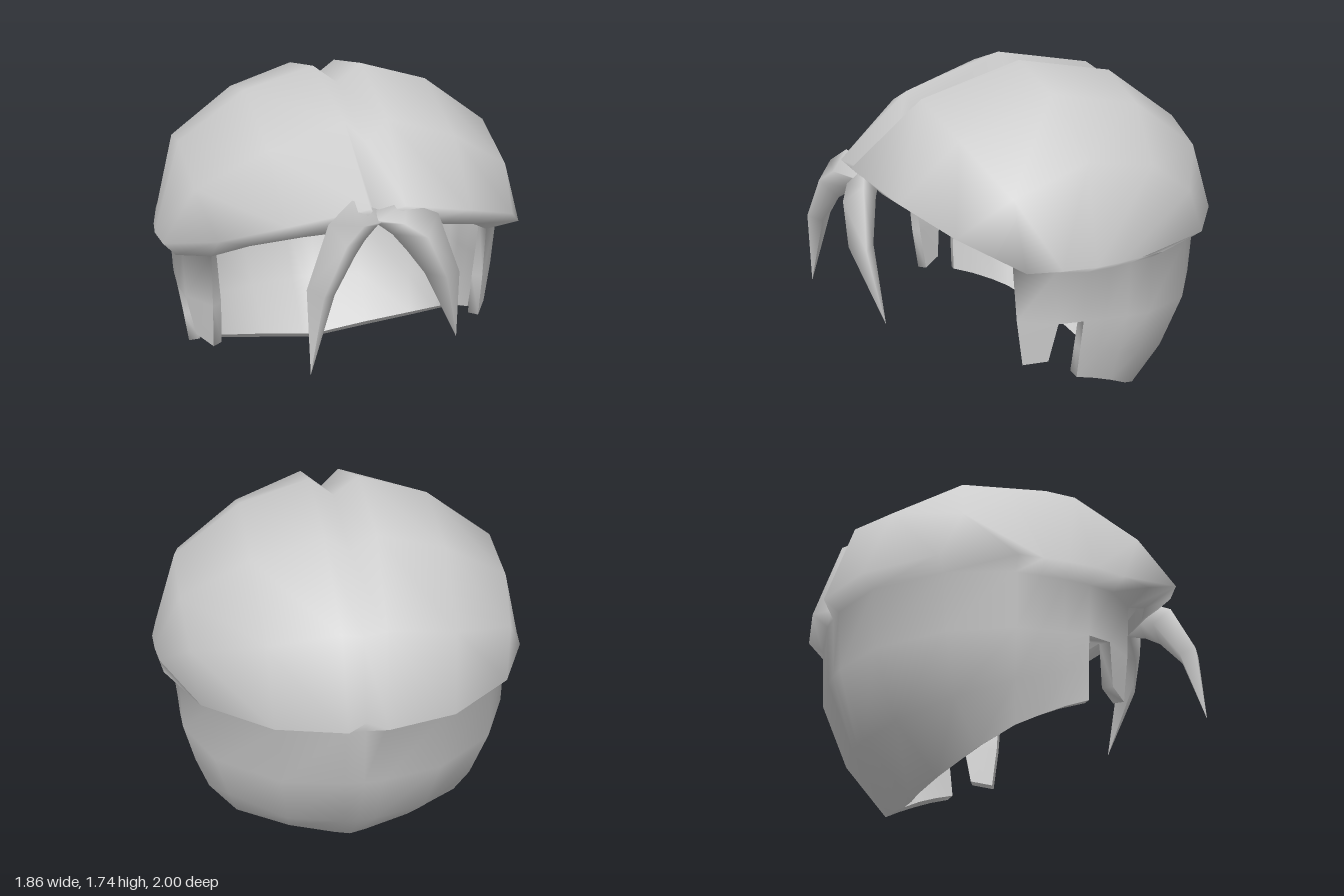
import * as THREE from 'three';
import { mergeGeometries, mergeVertices } from 'three/addons/utils/BufferGeometryUtils.js';

const hairMaterial = new THREE.MeshStandardMaterial({ color: 0xcccccc, side: THREE.DoubleSide });
hairMaterial.name = 'light grey hair';
const THICKNESS = 0.055;

function build(positions, index) {
  const g = new THREE.BufferGeometry();
  g.setAttribute('position', new THREE.Float32BufferAttribute(positions, 3));
  g.setIndex(index);
  return g;
}

// Surface through rows of [x, y, z] points
function grid(rows, flip = false) {
  const n = rows[0].length, index = [];
  for (let i = 0; i < rows.length - 1; i++) {
    for (let j = 0; j < n - 1; j++) {
      const a = i * n + j, b = a + n;
      if (flip) index.push(a, a + 1, b, b, a + 1, b + 1);
      else index.push(a, b, a + 1, b, b + 1, a + 1);
    }
  }
  return build(rows.flat(2), index);
}

// Joins two edge loops with a strip
const strip = (outer, inner) => grid(outer.map((p, i) => [p, inner[i]]), true);

// Welds pieces into one smoothly shaded surface
function smooth(...pieces) {
  const g = mergeVertices(mergeGeometries(pieces), 0.0005);
  g.computeVertexNormals();
  return g;
}

// Gives an open surface an inner wall and closes its free edges
function thicken(outer) {
  const p = outer.attributes.position, nrm = outer.attributes.normal;
  const n = p.count, index = [...outer.index.array];
  const innerPoints = [...p.array].map((v, i) => v - nrm.array[i] * THICKNESS);
  const edges = new Map();
  for (let i = 0; i < index.length; i += 3) {
    for (let k = 0; k < 3; k++) {
      const a = index[i + k], b = index[i + (k + 1) % 3];
      edges.set(a + '_' + b, [a, b]);
    }
  }
  const rim = [...edges.values()].filter(([a, b]) => !edges.has(b + '_' + a))
    .flatMap(([a, b]) => [b, a, a + n, b, a + n, b + n]);
  const inner = build(innerPoints, index.slice().reverse());
  const edge = build([...p.array, ...innerPoints], rim);
  inner.computeVertexNormals();
  edge.computeVertexNormals();
  return mergeGeometries([outer, inner, edge]);
}

const flipX = ([x, y, z]) => [-x, y, z];
const mirrorRows = (half) => [...half.slice(1).reverse().map((r) => r.map(flipX)), ...half];
const bothSides = (cols) => [cols, cols.slice().reverse().map((c) => c.map(flipX))].map((c) => grid(c, true));

// Cap slices from the middle parting to the side, each running front to back
const capHalf = [
  [[0, 1.19, 0.68], [0, 1.49, 0.53], [0, 1.65, 0.03], [0, 1.57, -0.45], [0, 1.32, -0.81], [0, 0.95, -0.93]],
  [[0.08, 1.29, 0.88], [0.10, 1.59, 0.53], [0.12, 1.74, 0.03], [0.12, 1.65, -0.47], [0.10, 1.37, -0.87], [0.09, 0.95, -1.0]],
  [[0.43, 1.20, 0.77], [0.45, 1.47, 0.48], [0.46, 1.64, 0.02], [0.45, 1.55, -0.44], [0.43, 1.30, -0.79], [0.41, 0.95, -0.92]],
  [[0.71, 1.10, 0.61], [0.77, 1.27, 0.36], [0.79, 1.40, 0], [0.78, 1.34, -0.34], [0.75, 1.18, -0.57], [0.72, 0.95, -0.67]],
  [[0.87, 0.95, 0.34], [0.91, 0.95, 0.18], [0.93, 0.95, 0.02], [0.92, 0.95, -0.11], [0.90, 0.95, -0.23], [0.88, 0.95, -0.35]],
];

// Edge of the face opening, from the middle to above the ear
const openingHalf = [
  [0, 1.15, 0.67], [0.07, 1.14, 0.73], [0.33, 1.10, 0.65], [0.55, 1.03, 0.52],
  [0.70, 0.92, 0.33], [0.82, 0.91, 0.17], [0.85, 0.90, 0.03],
];

// Columns of the lower hair from the side to the middle of the back, top to bottom
const backHalf = [
  [[0.85, 0.90, 0.03], [0.83, 0.65, 0.03], [0.81, 0.50, 0.035], [0.79, 0.35, 0.04]],
  [[0.845, 0.90, -0.10], [0.825, 0.64, -0.09], [0.80, 0.47, -0.07], [0.765, 0.31, -0.07]],
  [[0.83, 0.90, -0.21], [0.82, 0.63, -0.21], [0.78, 0.43, -0.19], [0.73, 0.26, -0.18]],
  [[0.81, 0.90, -0.33], [0.81, 0.62, -0.33], [0.76, 0.40, -0.31], [0.70, 0.21, -0.28]],
  [[0.66, 0.90, -0.62], [0.67, 0.60, -0.61], [0.61, 0.33, -0.53], [0.57, 0.13, -0.40]],
  [[0.38, 0.90, -0.85], [0.38, 0.60, -0.83], [0.34, 0.28, -0.70], [0.31, 0.06, -0.48]],
  [[0.09, 0.90, -0.92], [0.09, 0.60, -0.895], [0.08, 0.27, -0.755], [0.08, 0.015, -0.515]],
  [[0, 0.90, -0.92], [0, 0.60, -0.90], [0, 0.27, -0.76], [0, 0, -0.52]],
];

// Panel in front of the ear and the sideburn below it, front to back
const panelColumns = [
  [openingHalf[4], [0.70, 0.65, 0.31]],
  [openingHalf[5], [0.81, 0.65, 0.15]],
  [openingHalf[6], [0.83, 0.65, 0.03]],
];
const sideburnColumns = [
  [[0.70, 0.65, 0.31], [0.70, 0.42, 0.28]],
  [[0.81, 0.65, 0.15], [0.77, 0.45, 0.18]],
];

// Rim of the cap across the front, and from the left side around the back
const frontRim = (c) => [c[0][2], c[0][1], ...c.map((r) => r[0]), c[8][1], c[8][2]];
const backRim = (c) => [
  ...c[8].slice(2, 5), ...c.map((r) => r[5]).reverse(), ...c[0].slice(2, 5).reverse(),
];

// Four-sided lock of hair: sections are [outer x, y, inner x, y, z, half depth]
function lock(sections) {
  const rows = sections.map(([ox, oy, ix, iy, z, d]) => {
    const mx = (ox + ix) / 2, my = (oy + iy) / 2;
    return [[ox, oy, z], [mx, my, z + d], [ix, iy, z], [mx, my, z - d], [ox, oy, z]];
  });
  return smooth(grid(rows, sections[1][0] > 0));
}

export function createModel() {
  const model = new THREE.Group();
  model.name = 'hair';
  const add = (name, geometry) => {
    const mesh = new THREE.Mesh(geometry, hairMaterial);
    mesh.name = name;
    model.add(mesh);
  };

  // Thin shell: cap with a middle parting, overhanging edge, back and sideburns
  const cap = mirrorRows(capHalf);
  const opening = [...openingHalf.slice(1).reverse().map(flipX), ...openingHalf];
  const back = [...backHalf, ...backHalf.slice(0, -1).reverse().map((c) => c.map(flipX))];
  add('hairShell', thicken(smooth(
    grid(cap),
    strip(frontRim(cap), opening),
    strip(backRim(cap), back.map((c) => c[0])),
    grid(back, true),
    ...bothSides(panelColumns),
    ...bothSides(sideburnColumns),
  )));

  // Two pointed locks over the forehead
  add('rightFringeLock', lock([
    [0.01, 1.23, -0.01, 1.16, 0.75, 0.05],
    [-0.15, 1.32, -0.09, 1.13, 0.83, 0.08],
    [-0.27, 1.24, -0.15, 1.08, 0.88, 0.08],
    [-0.385, 0.97, -0.26, 0.93, 0.94, 0.06],
    [-0.38, 0.58, -0.379, 0.58, 0.98, 0.001],
  ]));
  add('leftFringeLock', lock([
    [-0.03, 1.24, -0.02, 1.18, 0.77, 0.05],
    [0.10, 1.29, 0.04, 1.14, 0.82, 0.08],
    [0.235, 1.24, 0.09, 1.08, 0.87, 0.08],
    [0.335, 0.96, 0.17, 0.97, 0.90, 0.06],
    [0.36, 0.60, 0.359, 0.60, 0.83, 0.001],
  ]));

  return model;
}
